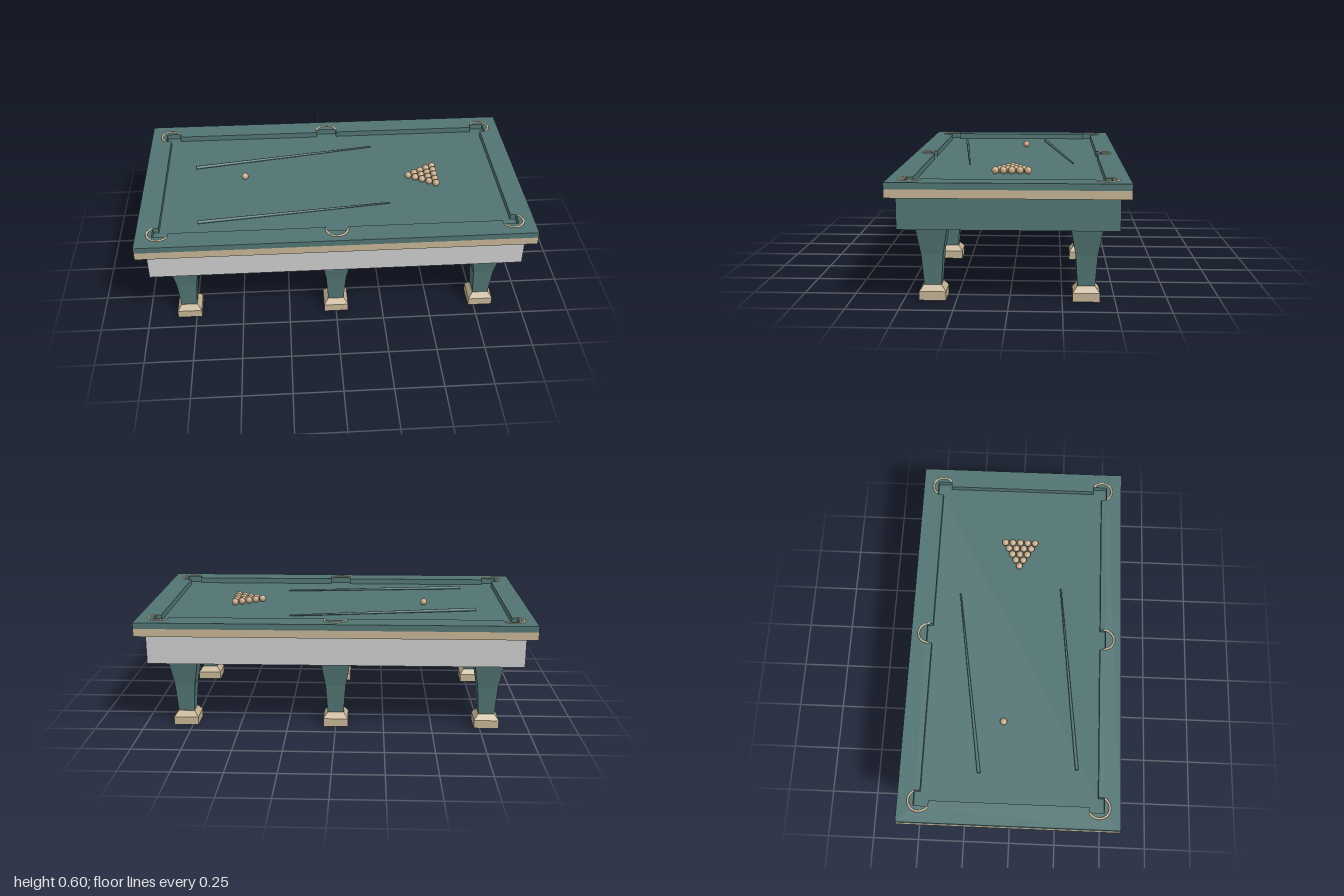
import * as THREE from 'three';

const mat = (name, color) => {
  const m = new THREE.MeshStandardMaterial({ color });
  m.name = name;
  return m;
};

export function createModel() {
  const model = new THREE.Group();
  model.name = 'poolTable';
  const green = mat('green', 0x517473);
  const tan = mat('tan', 0xc4b394);
  const grey = mat('paleGrey', 0xcacaca);
  const ballTan = mat('ballTan', 0xc2a685);

  const add = (name, geometry, material, x = 0, y = 0, z = 0, parent = model) => {
    const mesh = new THREE.Mesh(geometry, material);
    mesh.name = name;
    mesh.position.set(x, y, z);
    parent.add(mesh);
    return mesh;
  };
  const box = (name, w, h, d, material, x, y, z) =>
    add(name, new THREE.BoxGeometry(w, h, d), material, x, y, z);

  // Body with pale long panels, and the trim slab above it
  box('apron', 1.9, 0.16, 1.02, [green, green, green, green, grey, grey], 0, 0.445, 0);
  box('trim', 2, 0.04, 1.11, tan, 0, 0.54, 0);
  box('bed', 1.9, 0.006, 1.0, green, 0, 0.558, 0);

  // Rail frame around the sunken bed
  const rect = (Type, w, d) => {
    const s = new Type();
    s.moveTo(-w, -d).lineTo(w, -d).lineTo(w, d).lineTo(-w, d).closePath();
    return s;
  };
  const frame = rect(THREE.Shape, 1, 0.555);
  frame.holes.push(rect(THREE.Path, 0.917, 0.473));
  const frameGeo = new THREE.ExtrudeGeometry(frame, { depth: 0.031, bevelEnabled: false });
  frameGeo.rotateX(-Math.PI / 2);
  add('railFrame', frameGeo, green, 0, 0.56, 0);

  // Cushions, leaving gaps at the six pockets
  for (const s of [-1, 1]) {
    box('endCushion', 0.03, 0.031, 0.8, green, s * 0.904, 0.5755, 0);
    for (const t of [-1, 1])
      box('sideCushion', 0.785, 0.031, 0.032, green, t * 0.4475, 0.5755, s * 0.46);
  }

  // Pocket rims: half rings opening towards the bed
  const rim = (x, z, arc, facing) => {
    const g = new THREE.TorusGeometry(0.054, 0.006, 8, 24, arc);
    g.rotateZ(facing - arc / 2);
    g.rotateX(-Math.PI / 2);
    add('pocketRim', g, tan, x, 0.59, z);
  };
  for (const s of [-1, 1]) {
    rim(0, s * 0.463, Math.PI * 1.05, -s * Math.PI / 2);
    for (const t of [-1, 1])
      rim(t * 0.89, s * 0.447, Math.PI * 1.15, Math.atan2(-s, t));
  }

  // Square tapered legs and feet: four-sided lathes
  const squareLathe = (points) => {
    const g = new THREE.LatheGeometry(
      points.map(([r, y]) => new THREE.Vector2(r * Math.SQRT2, y)), 4);
    g.rotateY(Math.PI / 4);
    const flat = g.toNonIndexed();
    flat.computeVertexNormals();
    return flat;
  };
  const legGeo = squareLathe([[0.041, 0.07], [0.052, 0.22], [0.077, 0.366]]);
  const footGeo = squareLathe([[0, 0], [0.064, 0], [0.064, 0.043], [0.042, 0.072], [0, 0.072]]);
  for (const x of [-0.785, 0, 0.785])
    for (const z of [-0.363, 0.363]) {
      add('leg', legGeo, green, x, 0, z);
      add('foot', footGeo, tan, x, 0, z);
    }

  // Racked balls and the lone ball
  const ballGeo = new THREE.SphereGeometry(0.0185, 16, 12);
  const rack = new THREE.Group();
  rack.name = 'rackedBalls';
  model.add(rack);
  for (let row = 0; row < 5; row++)
    for (let i = 0; i <= row; i++)
      add('ball', ballGeo, ballTan, 0.418 + row * 0.035, 0.5795, (i - row / 2) * 0.0405, rack);
  add('cueBall', ballGeo, ballTan, -0.465, 0.5795, -0.045);

  // Tapered cues lying on the bed
  const cue = (x1, z1, x2, z2) => {
    const dir = new THREE.Vector3(x2 - x1, 0, z2 - z1);
    const g = new THREE.CylinderGeometry(0.004, 0.009, dir.length(), 12);
    const mesh = add('cue', g, green, (x1 + x2) / 2, 0.569, (z1 + z2) / 2);
    mesh.quaternion.setFromUnitVectors(new THREE.Vector3(0, 1, 0), dir.normalize());
  };
  cue(-0.735, -0.158, 0.243, -0.31);
  cue(-0.7, 0.335, 0.293, 0.23);

  return model;
}
